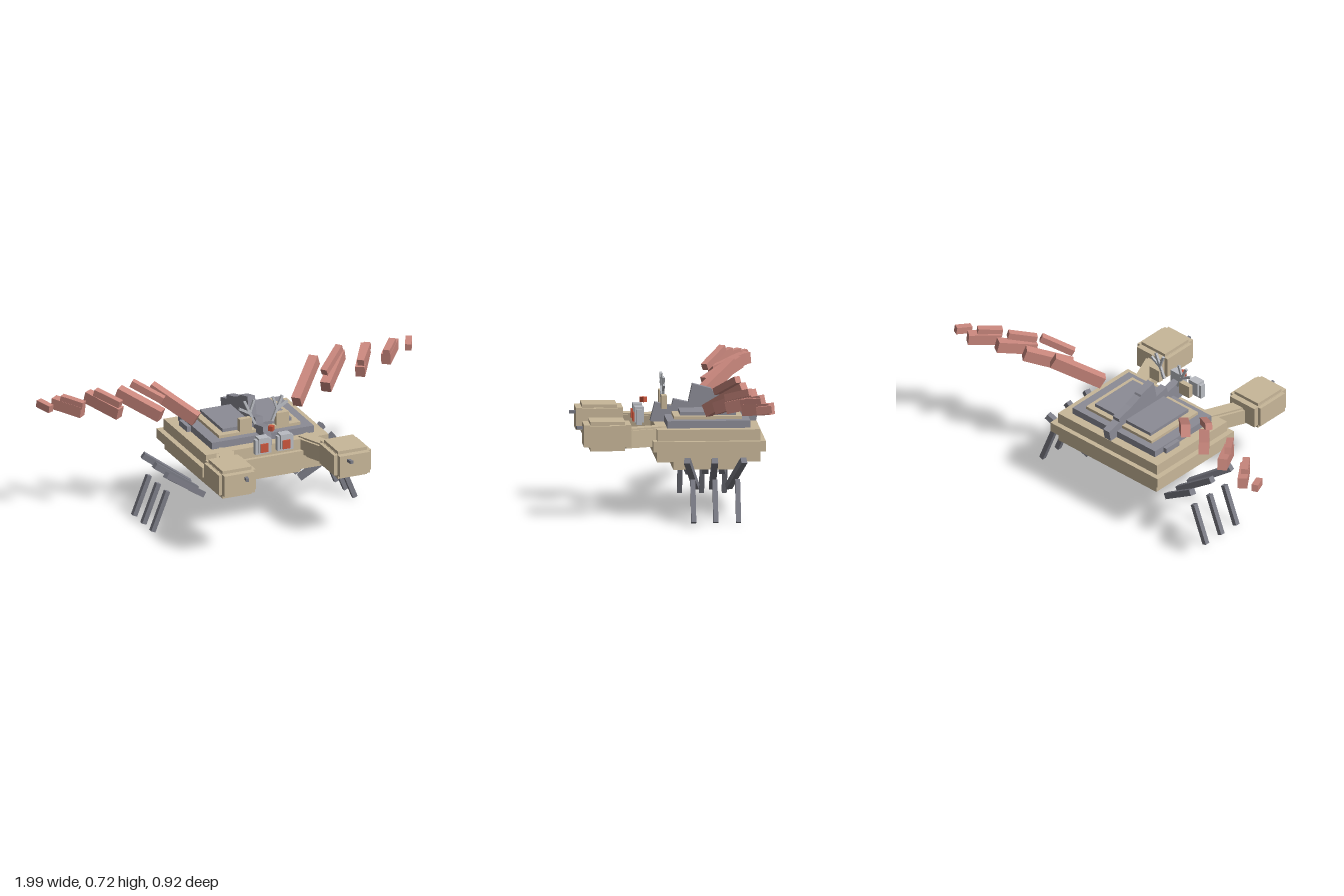
import * as THREE from 'three';

const mat = (name, color) => {
  const m = new THREE.MeshStandardMaterial({ color });
  m.name = name;
  return m;
};

export function createModel() {
  const tan = mat('tan shell', 0xc8b799);
  const grey = mat('slate grey', 0x8c8c96);
  const dark = mat('leg grey', 0x7b7c86);
  const pink = mat('coral pink', 0xcb887e);
  const light = mat('light grey', 0xb9bcc2);
  const red = mat('eye red', 0xc9553d);

  const model = new THREE.Group();
  model.name = 'winged crab';

  // box given by its ranges on each axis
  const box = (name, material, [x0, x1], [y0, y1], [z0, z1]) => {
    const mesh = new THREE.Mesh(new THREE.BoxGeometry(Math.abs(x1 - x0), y1 - y0, z1 - z0), material);
    mesh.position.set((x0 + x1) / 2, (y0 + y1) / 2, (z0 + z1) / 2);
    mesh.name = name;
    model.add(mesh);
    return mesh;
  };
  // bar of w x h section running from point a to point b
  const bar = (name, material, a, b, w, h) => {
    const p = new THREE.Vector3(...a), q = new THREE.Vector3(...b);
    const mesh = new THREE.Mesh(new THREE.BoxGeometry(w, h, p.distanceTo(q)), material);
    mesh.position.copy(p).add(q).multiplyScalar(0.5);
    mesh.lookAt(q);
    mesh.name = name;
    model.add(mesh);
    return mesh;
  };

  // stacked shell: half width, y range, z range
  [
    ['belly', tan, 0.215, [0.22, 0.275], [-0.35, -0.015]],
    ['lowerShell', tan, 0.32, [0.272, 0.328], [-0.43, 0.07]],
    ['shellRim', tan, 0.352, [0.325, 0.375], [-0.455, 0.09]],
    ['upperShell', tan, 0.325, [0.372, 0.43], [-0.43, 0.07]],
    ['backPlate', grey, 0.27, [0.428, 0.465], [-0.385, 0.018]],
    ['backFrame', tan, 0.215, [0.463, 0.48], [-0.348, -0.018]],
    ['topPlate', grey, 0.182, [0.478, 0.497], [-0.32, -0.05]],
    ['mouth', tan, 0.055, [0.257, 0.275], [-0.02, 0.003]],
  ].forEach(([n, m, hw, y, z]) => box(n, m, [-hw, hw], y, z));
  box('sidePatch', grey, [-0.29, -0.22], [0.428, 0.458], [-0.325, -0.23]);

  // jagged crest along the middle of the back, drawn as (z, y)
  const crestShape = new THREE.Shape([
    [0.085, 0.432], [0.062, 0.523], [-0.02, 0.505], [-0.028, 0.538], [-0.1, 0.522],
    [-0.12, 0.612], [-0.212, 0.588], [-0.216, 0.578], [-0.28, 0.552], [-0.37, 0.528],
    [-0.366, 0.508], [-0.44, 0.487], [-0.428, 0.43], [-0.38, 0.42], [0.03, 0.42],
  ].map(([z, y]) => new THREE.Vector2(-z, y)));
  const crest = new THREE.Mesh(new THREE.ExtrudeGeometry(crestShape, { depth: 0.04, bevelEnabled: false }), grey);
  crest.rotation.y = Math.PI / 2;
  crest.position.x = -0.02;
  crest.name = 'crest';
  model.add(crest);

  // nose cube turned on its corner
  const nose = box('nose', red, [-0.0125, 0.0125], [0.523, 0.548], [0.105, 0.13]);
  nose.rotation.y = Math.PI / 4;

  for (const s of [1, -1]) {
    const X = (a, b) => [s * a, s * b];
    const P = (x, y, z) => [s * x, y, z];

    // claw arm and stepped claw
    bar('arm', tan, P(0.205, 0.39, 0.03), P(0.29, 0.39, 0.23), 0.085, 0.075);
    bar('armCore', tan, P(0.205, 0.388, 0.03), P(0.29, 0.388, 0.23), 0.06, 0.096);
    box('clawSides', tan, X(0.207, 0.403), [0.358, 0.462], [0.225, 0.4]);
    box('clawEnds', tan, X(0.225, 0.385), [0.356, 0.464], [0.2, 0.428]);
    box('clawCore', tan, X(0.228, 0.382), [0.337, 0.48], [0.23, 0.398]);
    bar('clawPin', dark, P(0.27, 0.438, 0.42), P(0.276, 0.438, 0.458), 0.015, 0.015);

    // eye block with a red face
    box('eyeBlock', light, X(0.03, 0.086), [0.435, 0.51], [0.12, 0.165]);
    box('eyeRim', light, X(0.017, 0.1), [0.425, 0.5], [0.13, 0.157]);
    box('eye', red, X(0.038, 0.078), [0.438, 0.482], [0.165, 0.173]);

    // horn posts and branching antennae
    box('hornPost', tan, X(0.065, 0.13), [0.505, 0.57], [0.011, 0.037]);
    bar('antenna', light, P(0.045, 0.53, 0.025), P(0.1, 0.655, 0.025), 0.012, 0.012);
    bar('antennaOuterBranch', light, P(0.07, 0.588, 0.025), P(0.128, 0.622, 0.025), 0.011, 0.011);
    bar('antennaInnerBranch', light, P(0.072, 0.592, 0.025), P(0.05, 0.655, 0.025), 0.011, 0.011);

    // three legs: foot z, outer z and inner z of the upper part
    [[-0.093, -0.065, -0.122], [-0.2, -0.2, -0.2], [-0.31, -0.34, -0.28]].forEach(([zf, zo, zi]) => {
      bar('upperLeg', dark, P(0.255, 0.142, zi), P(0.475, 0.3, zo), 0.03, 0.03);
      bar('lowerLeg', dark, P(0.457, 0.203, zf), P(0.535, 0.006, zf), 0.024, 0.024);
    });

    // wing segments: inner end, outer end, width, height
    [
      [[0.265, 0.515, -0.175], [0.435, 0.645, -0.345], 0.046, 0.062],
      [[0.435, 0.55, -0.212], [0.588, 0.634, -0.382], 0.05, 0.06],
      [[0.635, 0.58, -0.252], [0.738, 0.627, -0.415], 0.047, 0.058],
      [[0.802, 0.592, -0.32], [0.9, 0.61, -0.447], 0.047, 0.055],
      [[0.945, 0.608, -0.375], [0.98, 0.62, -0.447], 0.032, 0.036],
    ].forEach(([a, b, w, h]) => bar('wingSegment', pink, P(...a), P(...b), w, h));

    // feathers lying over the middle segments
    [
      [[0.425, 0.63, -0.208], [0.55, 0.705, -0.305]],
      [[0.635, 0.63, -0.245], [0.72, 0.668, -0.355]],
      [[0.8, 0.628, -0.31], [0.875, 0.642, -0.405]],
    ].forEach(([a, b]) => bar('wingFeather', pink, P(...a), P(...b), 0.034, 0.034));
  }
  return model;
}
